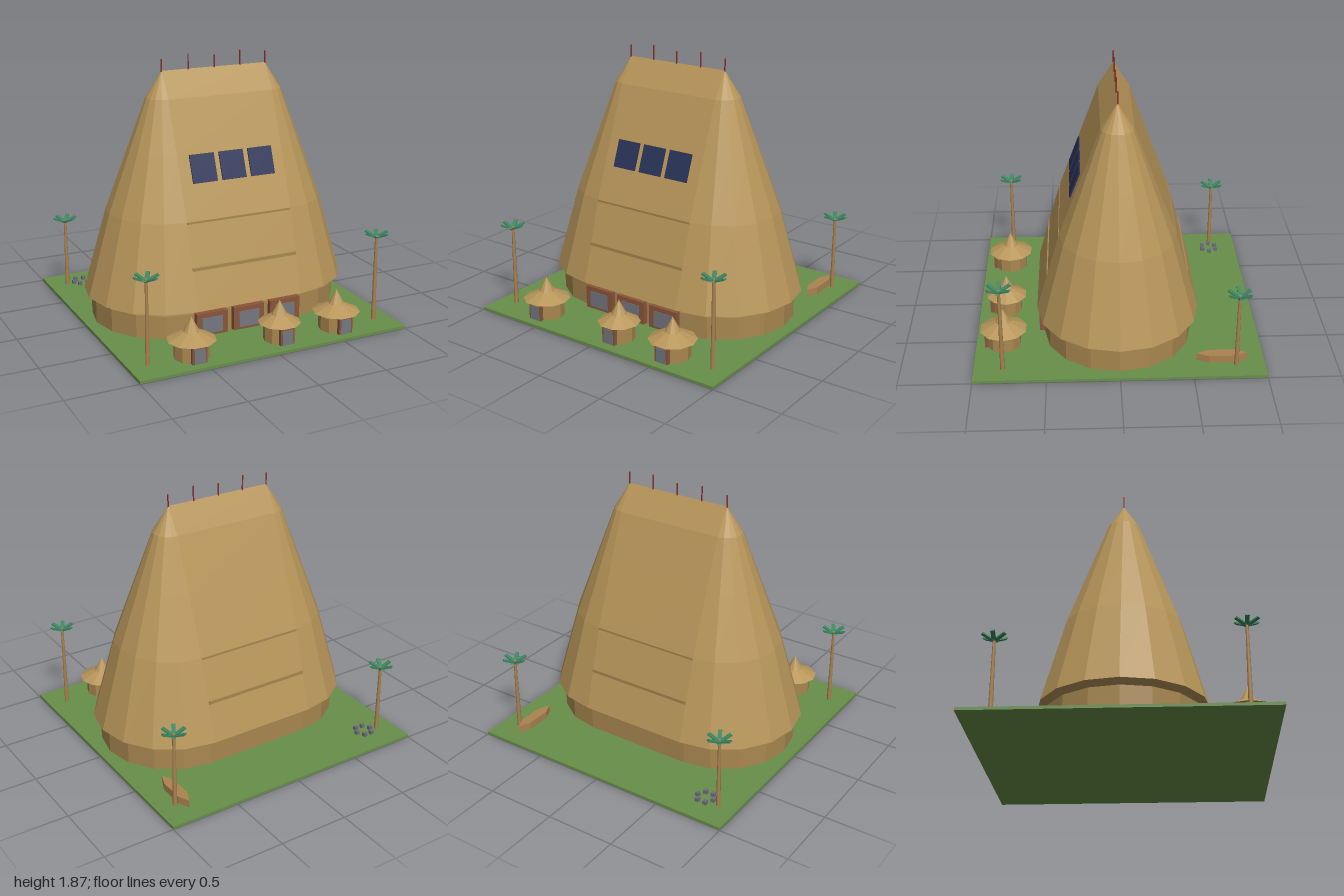
import * as THREE from 'three';

const mat = (name, color) => {
  const m = new THREE.MeshStandardMaterial({ color });
  m.name = name;
  return m;
};

// Unshared vertices give crisp facets
const faceted = (geo) => {
  const g = geo.index ? geo.toNonIndexed() : geo;
  g.computeVertexNormals();
  return g;
};

// Loft of stadium-shaped rings (two half circles joined by straights), capped below and above
function stadiumLoft(half, profile, seg = 8) {
  const ring = ([r, y]) => {
    const pts = [];
    for (const side of [1, -1])
      for (let i = 0; i <= seg; i++) {
        const a = Math.PI / 2 - (Math.PI * i) / seg;
        pts.push(new THREE.Vector3(side * (half + r * Math.cos(a)), y, side * r * Math.sin(a)));
      }
    return pts;
  };
  const rings = profile.map(ring);
  const pos = [];
  const tri = (a, b, c) => {
    const area = b.clone().sub(a).cross(c.clone().sub(a)).length();
    if (area > 1e-9) for (const p of [a, b, c]) pos.push(p.x, p.y, p.z);
  };
  const n = rings[0].length;
  for (let k = 0; k + 1 < rings.length; k++)
    for (let i = 0; i < n; i++) {
      const j = (i + 1) % n, lo = rings[k], hi = rings[k + 1];
      tri(lo[i], lo[j], hi[j]);
      tri(lo[i], hi[j], hi[i]);
    }
  const bottom = rings[0], top = rings[rings.length - 1];
  for (let i = 1; i + 1 < n; i++) {
    tri(bottom[0], bottom[i + 1], bottom[i]);
    tri(top[0], top[i], top[i + 1]);
  }
  const g = new THREE.BufferGeometry();
  g.setAttribute('position', new THREE.Float32BufferAttribute(pos, 3));
  g.computeVertexNormals();
  return g;
}

export function createModel() {
  const model = new THREE.Group();
  model.name = 'thatchedHouseCompound';

  const grass = mat('grass green', 0x688f4a);
  const thatch = mat('thatch', 0xb8965a);
  const cane = mat('cane wall', 0xa98850);
  const trunkWood = mat('pale wood', 0xab8350);
  const frameWood = mat('red brown wood', 0x8a553a);
  const glass = mat('grey glass', 0x747880);
  const panelBlue = mat('panel blue', 0x2a3358);
  const poleRed = mat('pole red', 0x8f302a);
  const leaf = mat('leaf green', 0x3a8560);
  const stone = mat('stone grey', 0x6c6a7c);

  const add = (parent, name, geo, material, x = 0, y = 0, z = 0) => {
    const mesh = new THREE.Mesh(geo, material);
    mesh.name = name;
    mesh.position.set(x, y, z);
    parent.add(mesh);
    return mesh;
  };
  const box = (parent, name, material, w, h, d, x, y, z) =>
    add(parent, name, new THREE.BoxGeometry(w, h, d), material, x, y, z);
  const group = (name, x, y, z) => {
    const g = new THREE.Group();
    g.name = name;
    g.position.set(x, y, z);
    model.add(g);
    return g;
  };

  box(model, 'ground', grass, 2, 0.02, 2, 0, 0.01, 0);

  // Main house
  add(model, 'houseWall', stadiumLoft(0.4, [[0.52, 0.02], [0.52, 0.183]]), cane);
  add(model, 'houseRoof', stadiumLoft(0.4,
    [[0.57, 0.213], [0.405, 0.8], [0.25, 1.22], [0.113, 1.59], [0, 1.77]]), thatch);
  for (const s of [1, -1]) {
    box(model, 'lowerRoofBatten', cane, 0.8, 0.022, 0.03, 0, 0.49, s * 0.483);
    box(model, 'upperRoofBatten', cane, 0.8, 0.02, 0.03, 0, 0.79, s * 0.394);
  }

  // Ridge poles
  for (let i = -2; i <= 2; i++) {
    const top = i % 2 ? 1.872 : 1.852;
    add(model, 'ridgePole', new THREE.CylinderGeometry(0.005, 0.005, top - 1.75, 6), poleRed,
      i * 0.2, (top + 1.75) / 2, 0);
  }

  // Solar panels lying along the front slope
  for (const x of [-0.222, 0, 0.222]) {
    const p = box(model, 'solarPanel', panelBlue, 0.184, 0.198, 0.01, x, 1.134, 0.29);
    p.rotation.x = -Math.atan2(0.069, 0.186);
  }

  // Front window bays
  for (const x of [-0.283, 0, 0.283]) {
    box(model, 'windowFrame', frameWood, 0.235, 0.165, 0.045, x, 0.105, 0.534);
    box(model, 'windowPane', glass, 0.155, 0.115, 0.006, x, 0.097, 0.557);
  }

  // Round huts
  const turn = Math.PI / 10;
  for (const [x, eave, wall] of [[-0.555, 0.167, 0.122], [0.1, 0.148, 0.11], [0.55, 0.167, 0.122]]) {
    const hut = group('hut', x, 0, 0.805);
    add(hut, 'hutWall', faceted(new THREE.CylinderGeometry(wall, wall, 0.135, 10, 1, false, turn)),
      cane, 0, 0.0875, 0);
    const profile = [[0, 0.145], [eave, 0.145], [0.055, 0.2], [0, 0.302]]
      .map(([r, y]) => new THREE.Vector2(r, y));
    add(hut, 'hutRoof', faceted(new THREE.LatheGeometry(profile, 10, turn)), thatch);
    box(hut, 'hutDoorFrame', frameWood, 0.105, 0.122, 0.03, 0, 0.081, wall - 0.006);
    box(hut, 'hutDoor', glass, 0.078, 0.105, 0.006, 0, 0.0725, wall + 0.009);
  }

  // Palm trees
  for (const [x, z, h] of [[0.865, 0.8, 0.645], [-0.865, 0.8, 0.61], [0.865, -0.8, 0.57], [-0.865, -0.8, 0.535]]) {
    const palm = group('palm', x, 0, z);
    add(palm, 'palmTrunk', new THREE.CylinderGeometry(0.01, 0.016, h - 0.02, 8), trunkWood,
      0, (h + 0.02) / 2, 0);
    for (let i = 0; i < 6; i++) {
      const frond = new THREE.Group();
      frond.name = 'frond';
      frond.position.y = h - 0.015;
      frond.rotation.y = (i * Math.PI) / 3;
      const blade = box(frond, 'frondBlade', leaf, 0.082, 0.01, 0.028, 0.047, 0.018, 0);
      blade.rotation.z = 0.4;
      palm.add(frond);
    }
  }

  // Dugout boat with pointed ends
  const hull = new THREE.Shape([[0, -0.175], [0.038, -0.09], [0.038, 0.09], [0, 0.175], [-0.038, 0.09], [-0.038, -0.09]]
    .map(([a, b]) => new THREE.Vector2(a, b)));
  const boat = add(model, 'boat', new THREE.ExtrudeGeometry(hull, { depth: 0.053, bevelEnabled: false }),
    trunkWood, 0.802, 0.02, -0.705);
  boat.rotation.x = -Math.PI / 2;

  // Ring of hearth stones
  for (let i = 0; i < 6; i++) {
    const a = (i * Math.PI) / 3;
    box(model, 'hearthStone', stone, 0.027, 0.027, 0.027,
      -0.755 + 0.06 * Math.cos(a), 0.0335, -0.786 + 0.06 * Math.sin(a));
  }

  return model;
}
